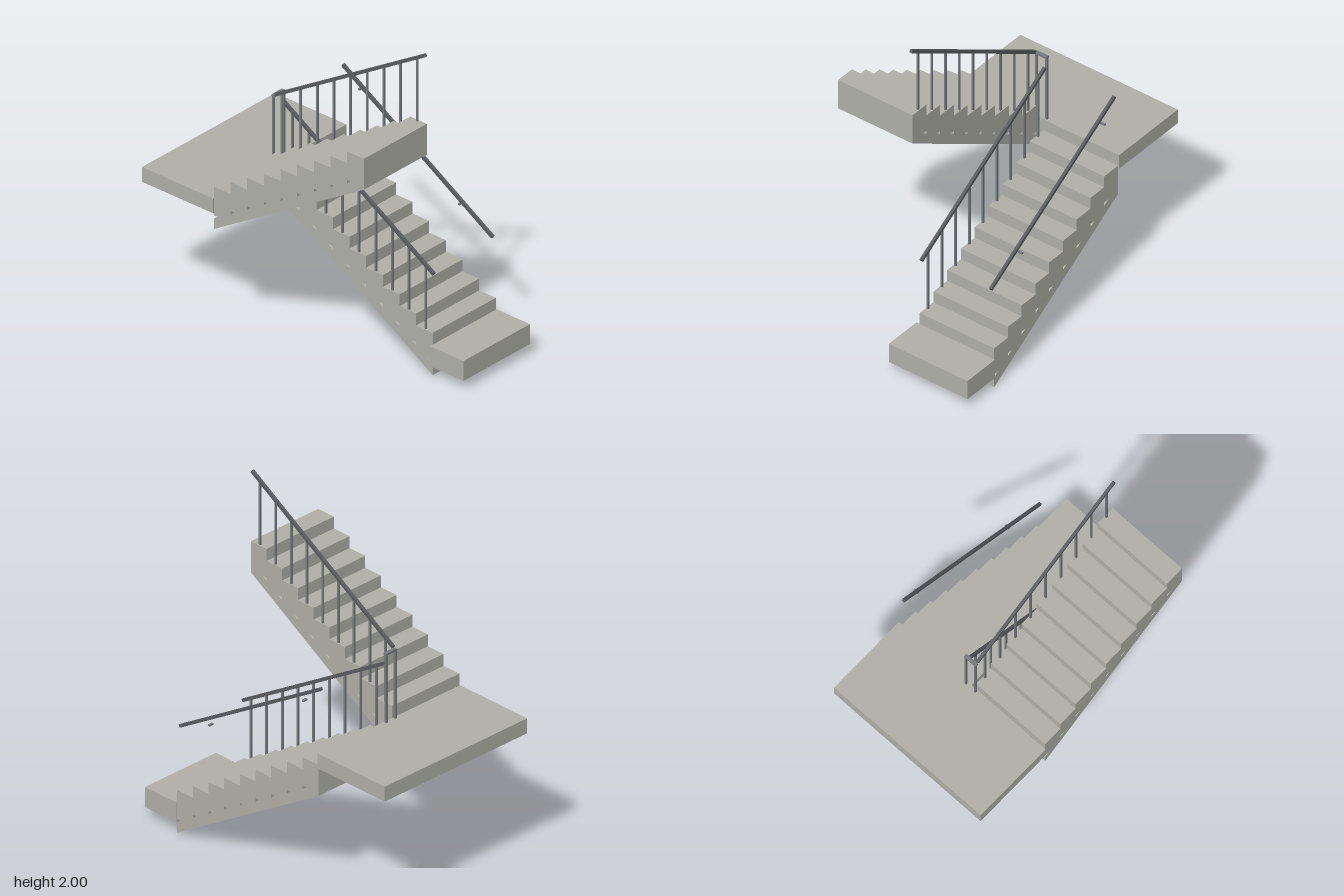
import * as THREE from 'three';

const STEPS = 9, RUN = 0.1191, RISE = 0.0725, WIDTH = 0.504;
const LENGTH = STEPS * RUN, SLOPE = 0.65 / LENGTH;

function flatColour(name, color) {
  const material = new THREE.MeshStandardMaterial({ color });
  material.name = name;
  return material;
}
const concrete = flatColour('concrete', 0xb2b2aa);
const darkMetal = flatColour('dark metal', 0x5a5d60);
const greyMetal = flatColour('grey metal', 0x787c80);

// Box given by its lower and upper corners
function block(parent, name, material, [x0, y0, z0], [x1, y1, z1]) {
  const mesh = new THREE.Mesh(new THREE.BoxGeometry(x1 - x0, y1 - y0, z1 - z0), material);
  mesh.position.set((x0 + x1) / 2, (y0 + y1) / 2, (z0 + z1) / 2);
  mesh.name = name;
  parent.add(mesh);
}

// Sloping handrail, y is its height above the first tread at the foot
function handrail(parent, name, y, z) {
  const length = Math.hypot(LENGTH, LENGTH * SLOPE);
  const rail = new THREE.Mesh(new THREE.BoxGeometry(length, 0.018, 0.017), darkMetal);
  rail.position.set(LENGTH / 2, y + LENGTH * SLOPE / 2, z);
  rail.rotation.z = Math.atan(SLOPE);
  rail.name = name;
  parent.add(rail);
}

// One flight: climbs along +x, inner edge at z = 0, first tread at y = 0
function createFlight(name) {
  const flight = new THREE.Group();
  flight.name = name;

  // Stepped outline with a sloping underside
  const under = -0.26, gapTop = -0.175, gapW = 0.034, gapH = 0.021;
  const outline = new THREE.Shape();
  outline.moveTo(0, under);
  outline.lineTo(LENGTH, under + LENGTH * SLOPE);
  for (let k = STEPS - 1; k >= 0; k--) {
    outline.lineTo((k + 1) * RUN, k * RISE);
    outline.lineTo(k * RUN, k * RISE);
  }
  // Notch at the foot, then a triangular gap under each further step
  outline.lineTo(0, gapTop);
  outline.lineTo(gapW, gapTop);
  outline.lineTo(0, gapTop - gapH);
  outline.closePath();
  for (let k = 1; k < STEPS; k++) {
    const x = k * RUN, y = gapTop + k * RISE;
    const gap = new THREE.Path();
    gap.moveTo(x, y);
    gap.lineTo(x + gapW, y);
    gap.lineTo(x, y - gapH);
    gap.closePath();
    outline.holes.push(gap);
  }
  const steps = new THREE.Mesh(
    new THREE.ExtrudeGeometry(outline, { depth: WIDTH, bevelEnabled: false }), concrete);
  steps.name = 'steps';
  flight.add(steps);

  // Inner railing with one baluster per tread
  const railY = 0.356, railZ = 0.01, r = 0.0055;
  handrail(flight, 'innerHandrail', railY, railZ);
  for (let k = 0; k < STEPS; k++) {
    const x = (k + 0.5) * RUN;
    block(flight, 'baluster', greyMetal,
      [x - r, k * RISE, railZ - r], [x + r, railY + x * SLOPE, railZ + r]);
  }
  return flight;
}

export function createModel() {
  const model = new THREE.Group();
  model.name = 'staircase';

  // Lower flight climbs to the back, upper flight returns to the front
  const lower = createFlight('lowerFlight');
  lower.rotation.y = Math.PI / 2;
  lower.position.set(0.022, 0.261, 0.672);
  const upper = createFlight('upperFlight');
  upper.rotation.y = -Math.PI / 2;
  upper.position.set(-0.026, 0.985, -0.4);
  model.add(lower, upper);

  // Wall handrail and its brackets on the lower flight
  const wallY = 0.384, wallZ = 0.48;
  handrail(lower, 'wallHandrail', wallY, wallZ);
  for (const x of [0.243, 0.957]) {
    const y = wallY + x * SLOPE - 0.039;
    block(lower, 'bracketArm', greyMetal,
      [x - 0.006, y - 0.005, wallZ - 0.002], [x + 0.006, y + 0.005, 0.507]);
  }

  // Landings
  block(model, 'bottomLanding', concrete, [0, 0.066, 0.672], [0.532, 0.188, 0.911]);
  block(model, 'middleLanding', concrete, [-0.534, 0.822, -0.911], [0.532, 0.913, -0.402]);

  // Posts and crossbar joining the two railings
  for (const x of [-0.036, 0.032])
    block(model, 'landingPost', greyMetal, [x - 0.006, 0.913, -0.421], [x + 0.006, 1.326, -0.409]);
  block(model, 'railCrossbar', greyMetal, [-0.044, 1.325, -0.423], [0.04, 1.337, -0.402]);

  return model;
}
